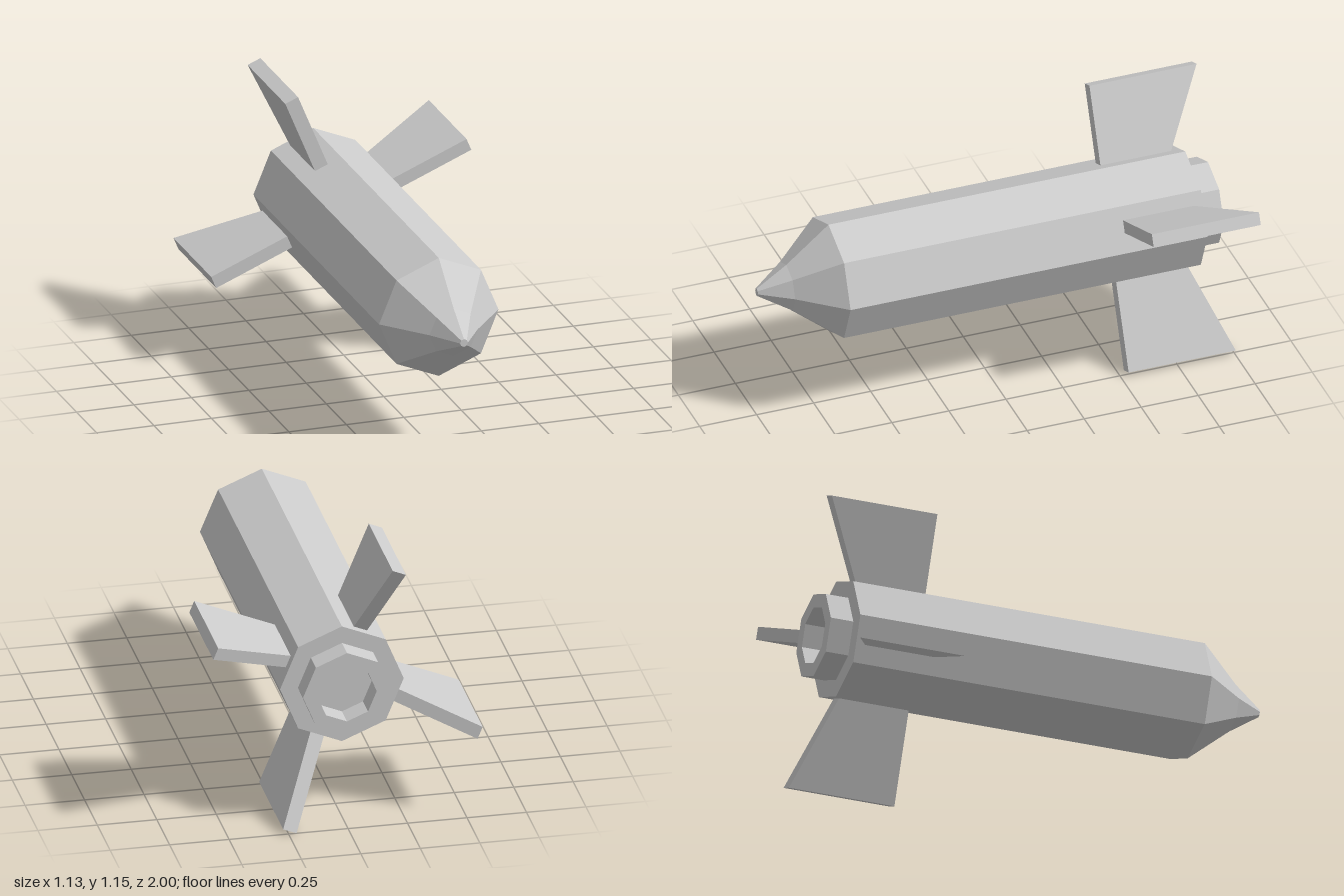
import * as THREE from 'three';

const grey = new THREE.MeshStandardMaterial({ color: 0xcccccc });
grey.name = 'plain grey';

// Faceted mesh: every face gets its own flat normals
function facetedMesh(name, geometry) {
  const flat = geometry.index ? geometry.toNonIndexed() : geometry;
  flat.computeVertexNormals();
  const mesh = new THREE.Mesh(flat, grey);
  mesh.name = name;
  return mesh;
}

// Eight-sided part turned around the z axis from [radius, z] pairs, back to front
function octagonal(name, profile) {
  const points = profile.map(([r, z]) => new THREE.Vector2(r, z));
  return facetedMesh(name, new THREE.LatheGeometry(points, 8).rotateX(Math.PI / 2));
}

// Swept fin in the (radius, z) plane, shifted sideways and turned around the z axis
function fin(name, angle, tip, thickness, offset) {
  const shape = new THREE.Shape([
    new THREE.Vector2(0.2, -0.53),
    new THREE.Vector2(0.2, -0.82),
    new THREE.Vector2(0.24, -0.84),
    new THREE.Vector2(tip, -1),
    new THREE.Vector2(tip, -0.53),
  ]);
  const geometry = new THREE.ExtrudeGeometry(shape, { depth: thickness, bevelEnabled: false });
  geometry.translate(0, 0, -thickness / 2).rotateX(Math.PI / 2);
  geometry.translate(0, offset, 0).rotateZ(THREE.MathUtils.degToRad(angle));
  return facetedMesh(name, geometry);
}

export function createModel() {
  const model = new THREE.Group();
  model.name = 'rocket';

  // Hull
  model.add(octagonal('nose', [[0.26, 0.685], [0.105, 0.87], [0.017, 1], [0, 1]]));
  model.add(octagonal('body', [[0.185, -0.88], [0.26, -0.88], [0.26, 0.685]]));

  // Hollow exhaust nozzle
  model.add(octagonal('nozzle', [[0, -0.88], [0.125, -0.88], [0.125, -0.98], [0.185, -0.98], [0.185, -0.88]]));

  // Four tail fins
  model.add(fin('leftFin', 22.5, 0.607, 0.054, 0.013));
  model.add(fin('topFin', 112.5, 0.578, 0.06, -0.006));
  model.add(fin('rightFin', 202.5, 0.598, 0.056, -0.007));
  model.add(fin('bottomFin', 292.5, 0.639, 0.061, 0));

  for (const part of model.children) part.position.y = 0.605;
  return model;
}
